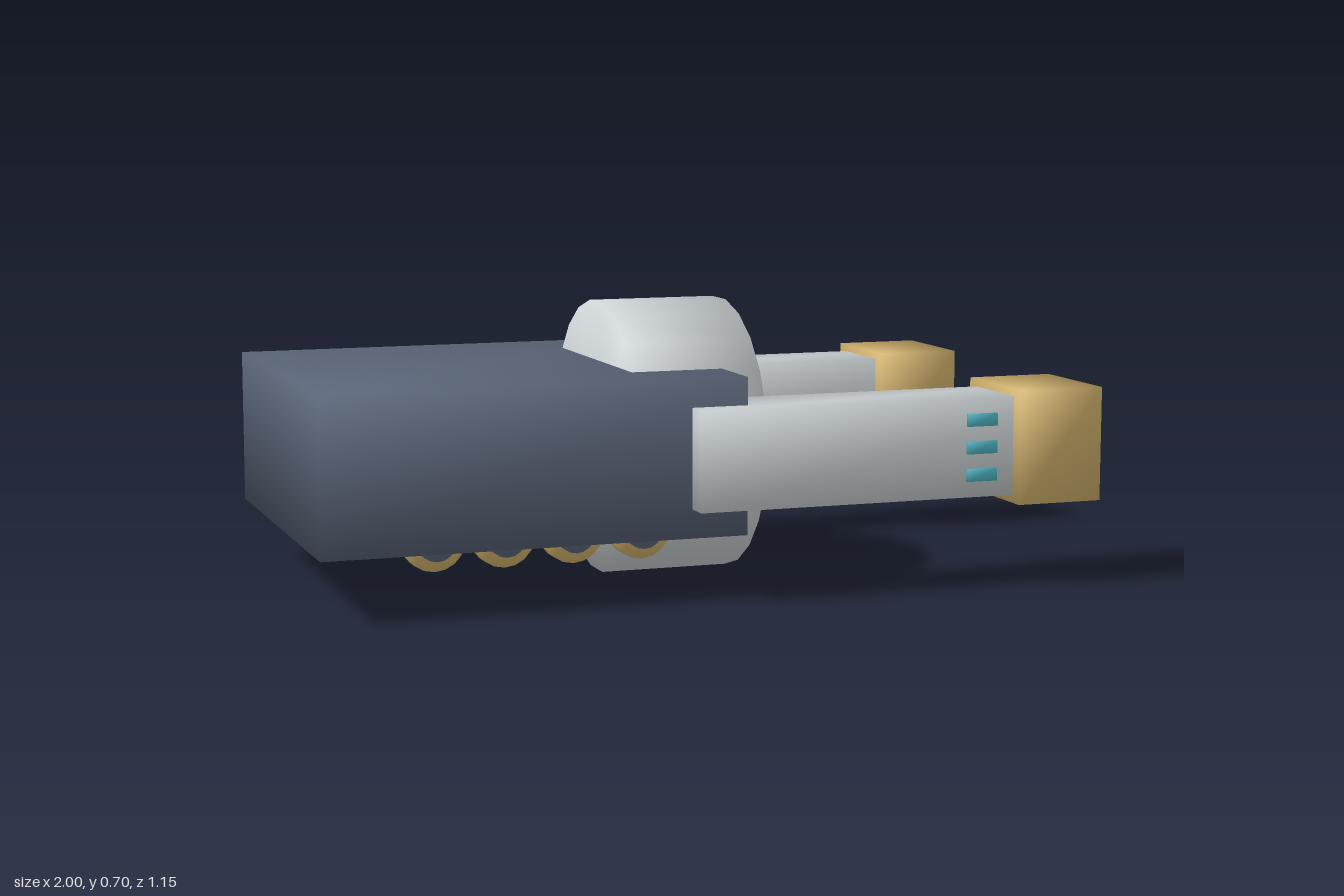
import * as THREE from 'three';
import { mergeVertices } from 'three/addons/utils/BufferGeometryUtils.js';

const paint = (name, color) => {
  const m = new THREE.MeshStandardMaterial({ color });
  m.name = name;
  return m;
};

// Shares corner vertices so that normals blend softly over the edges
function soften(geometry) {
  geometry.deleteAttribute('uv');
  geometry.deleteAttribute('normal');
  const merged = mergeVertices(geometry, 1e-4);
  merged.computeVertexNormals();
  return merged;
}

export function createModel() {
  const slate = paint('slate', 0x5a6578);
  const silver = paint('silver', 0xcbd1d3);
  const gold = paint('gold', 0xd2b26c);
  const cyan = paint('cyan', 0x4fb6c4);

  const model = new THREE.Group();
  model.name = 'twinProngShip';

  const add = (name, geometry, material, x, y, z, parent = model) => {
    const mesh = new THREE.Mesh(soften(geometry), material);
    mesh.name = name;
    mesh.position.set(x, y, z);
    parent.add(mesh);
    return mesh;
  };
  // Box given by its ranges along x, y and z
  const box = (name, material, [x0, x1], [y0, y1], [z0, z1], parent) =>
    add(name, new THREE.BoxGeometry(x1 - x0, y1 - y0, z1 - z0), material,
      (x0 + x1) / 2, (y0 + y1) / 2, (z0 + z1) / 2, parent);

  // Main hull
  box('hull', slate, [-1, 0.075], [0.16, 0.555], [-0.475, 0.475]);

  // Large upright drum crossing the hull, axis along x
  const drum = new THREE.CylinderGeometry(0.355, 0.355, 0.34, 22);
  drum.rotateZ(Math.PI / 2);
  add('drum', drum, silver, 0.005, 0.355, 0);

  // Two long prongs with gold end blocks and light strips on the outer side
  for (const side of [1, -1]) {
    const prong = new THREE.Group();
    prong.name = side > 0 ? 'frontProng' : 'backProng';
    model.add(prong);
    const span = (a, b) => (side > 0 ? [a, b] : [-b, -a]);
    box('prongBeam', silver, [-0.07, 1], [0.233, 0.485], span(0.325, 0.538), prong);
    box('prongTip', gold, [0.77, 0.998], [0.213, 0.504], span(0.286, 0.577), prong);
    for (const y of [0.29, 0.36, 0.43]) {
      box('lightStrip', cyan, [0.64, 0.722], [y - 0.016, y + 0.016], span(0.53, 0.547), prong);
    }
  }

  // Row of thrusters under the front of the hull
  for (let i = 0; i < 4; i++) {
    const x = -0.68 + i * 0.178;
    const ring = new THREE.CylinderGeometry(0.08, 0.08, 0.05, 18).rotateX(Math.PI / 2);
    add('thrusterDisc', ring, gold, x, 0.164, 0.281);
    const core = new THREE.CylinderGeometry(0.05, 0.05, 0.018, 18).rotateX(Math.PI / 2);
    add('thrusterCore', core, slate, x, 0.164, 0.326);
  }

  return model;
}
